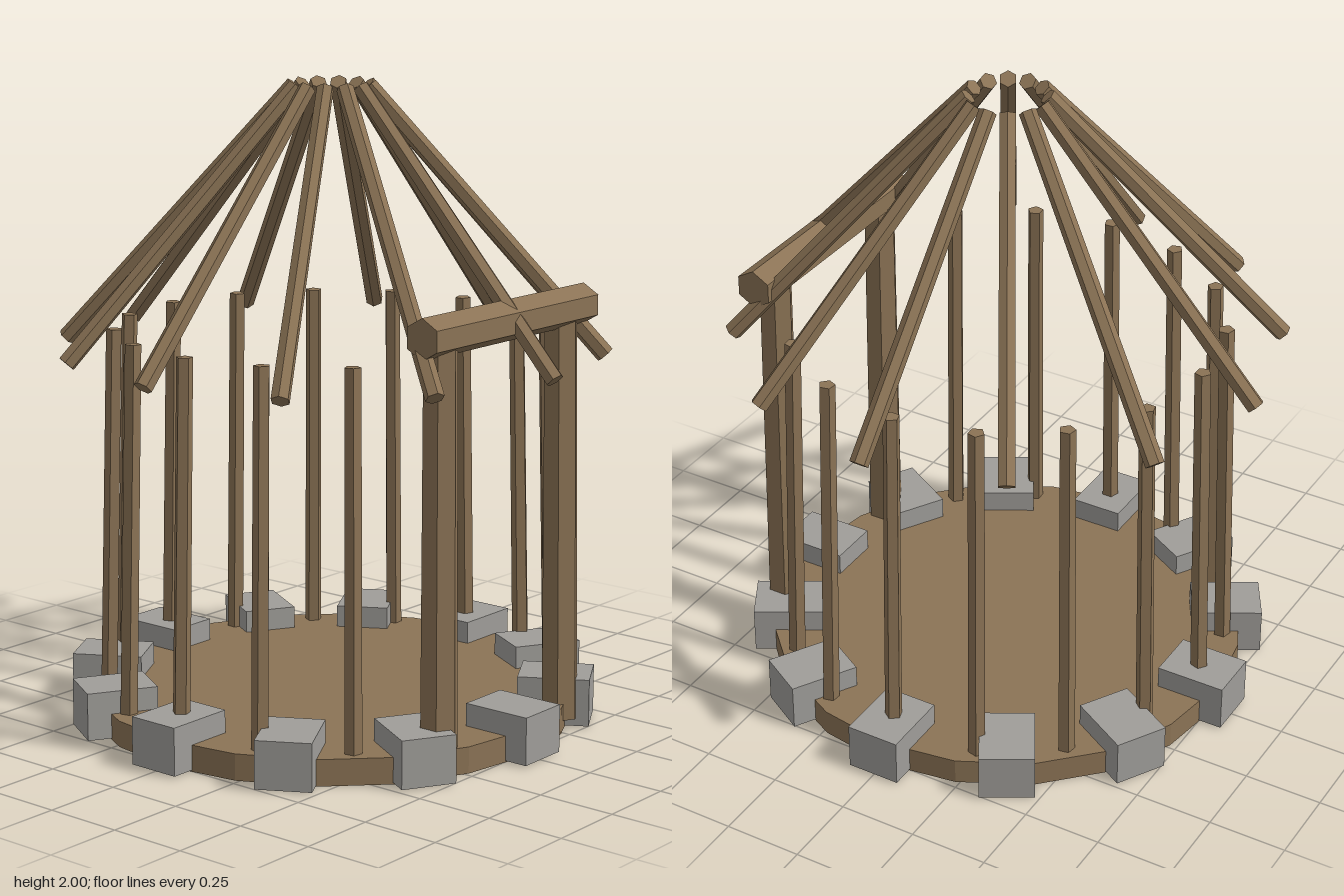
import * as THREE from 'three';

const V = (x, y, z) => new THREE.Vector3(x, y, z);

function material(name, color) {
  const m = new THREE.MeshStandardMaterial({ color, flatShading: true });
  m.name = name;
  return m;
}

// Straight faceted pole from a to b
function pole(name, a, b, ra, rb, sides, mat, spin = 0) {
  const d = b.clone().sub(a);
  const geo = new THREE.CylinderGeometry(rb, ra, d.length(), sides);
  geo.rotateY(spin);
  const mesh = new THREE.Mesh(geo, mat);
  mesh.name = name;
  mesh.position.copy(a).add(b).multiplyScalar(0.5);
  mesh.quaternion.setFromUnitVectors(V(0, 1, 0), d.normalize());
  return mesh;
}

// Copies of a part built at the front (+z), turned around the centre
function ring(name, count, make, skip = () => false) {
  const group = new THREE.Group();
  group.name = name;
  for (let i = 0; i < count; i++) {
    if (skip(i)) continue;
    const turn = new THREE.Group();
    turn.rotation.y = (i / count) * Math.PI * 2;
    turn.add(make());
    group.add(turn);
  }
  return group;
}

export function createModel() {
  const wood = material('wood', 0x8b7355);
  const stone = material('stone', 0x9f9d99);
  const model = new THREE.Group();
  model.name = 'roundHutFrame';

  // Round floor
  const floor = new THREE.Mesh(new THREE.CylinderGeometry(0.765, 0.765, 0.083, 20), wood);
  floor.name = 'floor';
  floor.position.y = 0.0415;
  model.add(floor);

  // Foundation stones
  model.add(ring('foundationStones', 12, () => {
    const block = new THREE.Mesh(new THREE.BoxGeometry(0.172, 0.15, 0.225), stone);
    block.name = 'foundationStone';
    block.position.set(0, 0.08, 0.715);
    return block;
  }));

  // Wall posts lean slightly inward; the doorway takes the front three places
  model.add(ring('wallPosts', 16,
    () => pole('wallPost', V(0, 0.03, 0.706), V(0, 1.235, 0.673), 0.028, 0.026, 5, wood),
    (i) => i === 0 || i === 1 || i === 15));

  // Doorway: two stout posts and a lintel
  for (const s of [-1, 1]) {
    model.add(pole('doorPost', V(s * 0.308, 0.03, 0.67), V(s * 0.298, 1.3, 0.657), 0.06, 0.054, 6, wood));
  }
  model.add(pole('doorLintel', V(-0.4, 1.327, 0.668), V(0.4, 1.327, 0.668), 0.063, 0.063, 6, wood, Math.PI / 2));

  // Roof rafters, open at the top
  model.add(ring('rafters', 12,
    () => pole('rafter', V(0, 1.17, 0.85), V(0, 1.98, 0.116), 0.029, 0.027, 6, wood)));

  return model;
}
